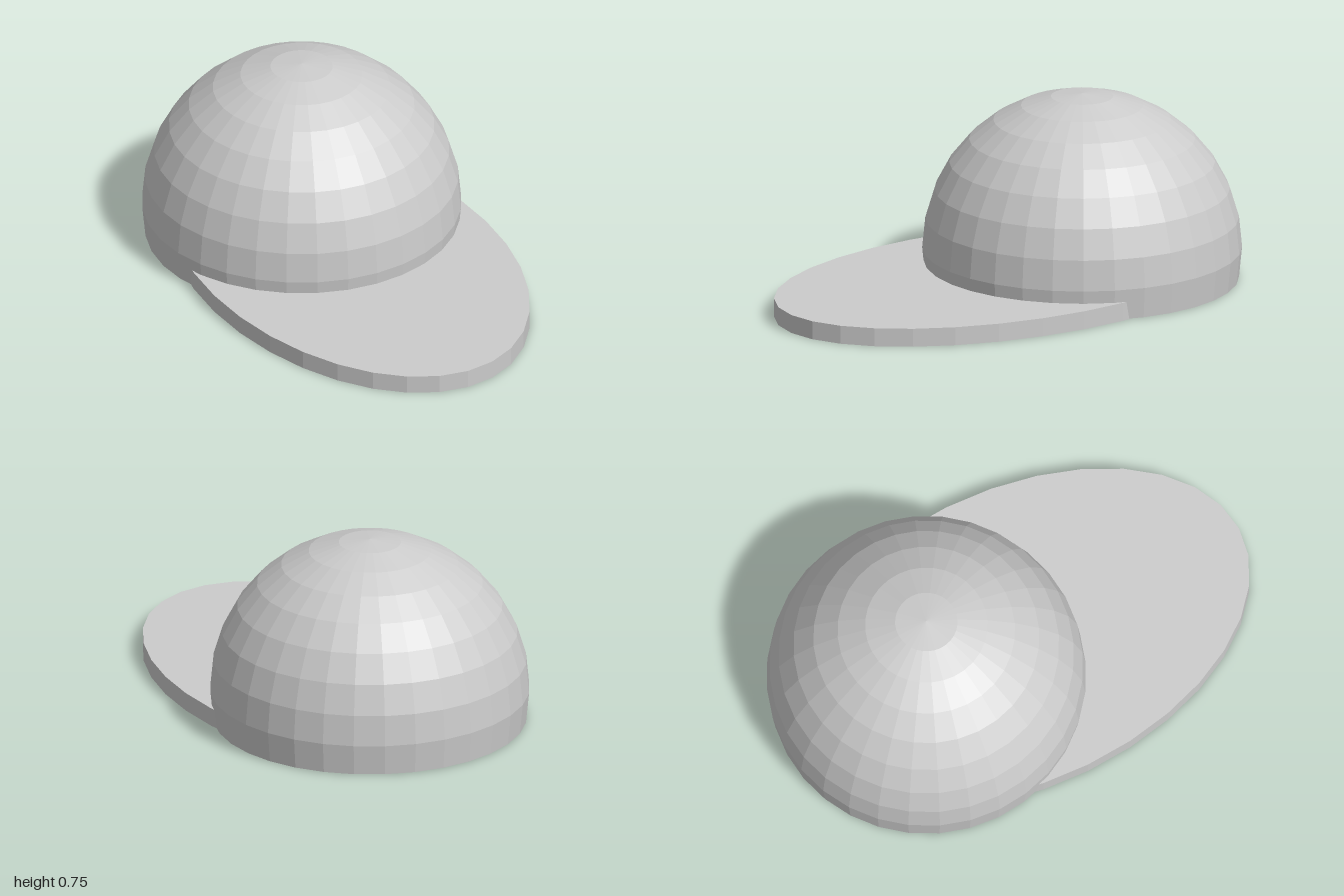
import * as THREE from 'three';

export function createModel() {
  const model = new THREE.Group();
  model.name = 'cap';
  const material = new THREE.MeshStandardMaterial({
    color: 0xcccccc, flatShading: true, side: THREE.DoubleSide,
  });

  // Open dome, cut one ring below its equator
  const crown = new THREE.Mesh(
    new THREE.SphereGeometry(0.625, 32, 9, 0, Math.PI * 2, 0, Math.PI * 9 / 16), material);
  crown.name = 'crown';
  crown.position.set(0, 0.124, -0.375);
  model.add(crown);

  // Flat oval plate, its back end tucked inside the crown
  const thickness = 0.073;
  const brim = new THREE.Mesh(new THREE.CylinderGeometry(1, 1, thickness, 32), material);
  brim.name = 'brim';
  brim.geometry.scale(0.602, 1, 0.975);
  brim.position.set(0, thickness / 2, 0.025);
  model.add(brim);

  return model;
}
